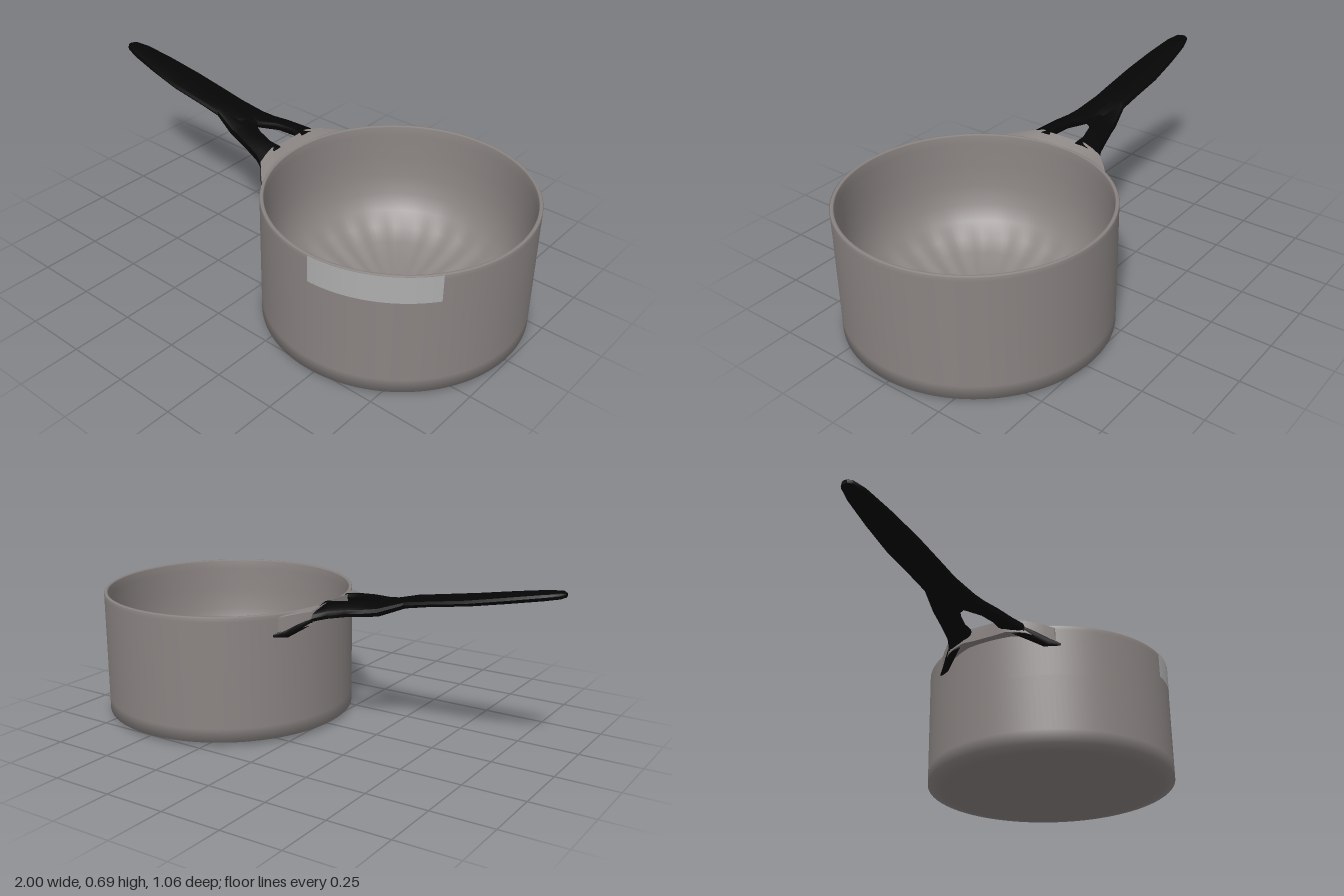
import * as THREE from 'three';
import { mergeVertices, toCreasedNormals } from 'three/addons/utils/BufferGeometryUtils.js';

const CX = 0.48, R = 0.527, SX = 0.98; // pot centre, radius, slight x squash

// Closed skin over equal rings of [x, y, z] points, with end caps
function skin(rings) {
  const N = rings[0].length, idx = [];
  const last = (rings.length - 1) * N;
  for (let i = 0; i < last; i += N)
    for (let j = 0; j < N; j++) {
      const k = (j + 1) % N;
      idx.push(i + j, i + k, i + N + j, i + k, i + N + k, i + N + j);
    }
  for (let j = 1; j < N - 1; j++) idx.push(0, j + 1, j, last, last + j, last + j + 1);
  const g = new THREE.BufferGeometry();
  g.setAttribute('position', new THREE.Float32BufferAttribute(rings.flat(2), 3));
  g.setIndex(idx);
  return toCreasedNormals(g, 0.6);
}

// Rounded bar along x: sections [x, y, halfHeight, z, halfWidth, outward droop]
function bar(sections, side = 1) {
  const soft = v => Math.sign(v) * Math.abs(v) ** 0.65;
  return skin(sections.map(([x, y, hy, z, hz, droop = 0]) =>
    Array.from({ length: 12 }, (_, j) => {
      const a = (j / 12) * Math.PI * 2;
      const dz = hz * soft(Math.sin(a));
      return [x, y + hy * soft(Math.cos(a)) - droop * side * dz, side * z + dz];
    })));
}

export function createModel() {
  const group = new THREE.Group();
  const metal = new THREE.MeshStandardMaterial({ color: 0x8a8482 });
  const black = new THREE.MeshStandardMaterial({ color: 0x050505 });
  const pale = new THREE.MeshStandardMaterial({ color: 0xaeaeae, side: THREE.DoubleSide });
  const add = (name, geometry, material) => {
    const mesh = new THREE.Mesh(geometry, material);
    mesh.name = name;
    group.add(mesh);
  };

  // Pot: outer wall, rim, and an inside that rounds into a shallow bowl
  const profile = [
    [0, 0], [0.45, 0.001], [0.475, 0.003], [R, 0.015], [R, 0.07], [R, 0.3], [R, 0.5],
    [R, 0.515], [0.524, 0.52], [0.515, 0.52], [0.511, 0.515], [0.51, 0.48], [0.507, 0.38],
    [0.5, 0.29], [0.482, 0.215], [0.45, 0.15], [0.4, 0.1], [0.33, 0.066], [0.24, 0.043],
    [0.14, 0.03], [0, 0.025],
  ].map(p => new THREE.Vector2(...p));
  const lathe = new THREE.LatheGeometry(profile, 144);
  // Faint radial flutes on the bowl
  const p = lathe.attributes.position;
  for (let i = 0; i < p.count; i++) {
    const r = Math.hypot(p.getX(i), p.getZ(i));
    if (p.getY(i) > 0.035 && r > 0.2 && r < 0.42)
      p.setY(i, p.getY(i) + 0.003 * Math.cos(24 * Math.atan2(p.getX(i), p.getZ(i))));
  }
  lathe.deleteAttribute('normal');
  lathe.deleteAttribute('uv');
  const pot = mergeVertices(lathe, 1e-5);
  pot.scale(SX, 1, 1).translate(CX, 0, 0);
  pot.computeVertexNormals();
  add('pot', pot, metal);

  // Pale patch curved around the front of the wall
  const patch = new THREE.CylinderGeometry(R + 0.0015, R + 0.0015, 0.108, 24, 1, true, 0, 0.927);
  patch.scale(SX, 1, 1).translate(CX, 0.464, 0);
  add('wallPatch', patch, pale);

  // Bracket: wedge between the wall and the handle, stations [z, outer x, top, bottom]
  const half = [
    [0.05, -0.07, 0.543, 0.485], [0.1, -0.074, 0.543, 0.485], [0.14, -0.068, 0.533, 0.478],
    [0.18, -0.058, 0.522, 0.468], [0.24, 0, 0.512, 0.45], [0.268, 0.03, 0.505, 0.445],
  ];
  const stations = [...half.map(([z, ...rest]) => [-z, ...rest]).reverse(), ...half];
  add('bracket', skin(stations.map(([z, x, top, bottom]) => {
    const wall = CX - SX * Math.sqrt(0.519 ** 2 - z * z);
    return [[wall, Math.min(top, 0.518), z], [x, top, z], [x, bottom, z], [wall, bottom, z]];
  })), metal);

  // Long grip
  add('grip', bar([
    [-1, 0.678, 0.008, 0, 0.012], [-0.985, 0.677, 0.013, 0, 0.028], [-0.93, 0.668, 0.016, 0, 0.045],
    [-0.8, 0.643, 0.017, 0, 0.063], [-0.65, 0.614, 0.017, 0, 0.076], [-0.5, 0.59, 0.016, 0, 0.076],
    [-0.4, 0.572, 0.018, 0, 0.075], [-0.34, 0.554, 0.02, 0, 0.075], [-0.27, 0.539, 0.02, 0, 0.05],
    [-0.25, 0.537, 0.018, 0, 0.012],
  ]), black);

  // Forked neck: two prongs, each with a lower tail hugging the wall
  for (const side of [1, -1]) {
    const hand = side > 0 ? 'left' : 'right';
    add(hand + 'Prong', bar([
      [-0.4, 0.572, 0.016, 0.035, 0.038], [-0.3, 0.54, 0.022, 0.05, 0.05, 0.1],
      [-0.25, 0.535, 0.022, 0.058, 0.054, 0.15], [-0.18, 0.531, 0.021, 0.088, 0.045, 0.25],
      [-0.11, 0.521, 0.022, 0.108, 0.045, 0.3], [-0.058, 0.511, 0.022, 0.12, 0.06, 0.3],
    ], side), black);
    add(hand + 'Tail', bar([
      [-0.06, 0.487, 0.014, 0.15, 0.03], [-0.02, 0.462, 0.018, 0.2, 0.022],
      [0.01, 0.442, 0.019, 0.236, 0.016], [0.045, 0.434, 0.006, 0.278, 0.01],
    ], side), black);
  }
  return group;
}
